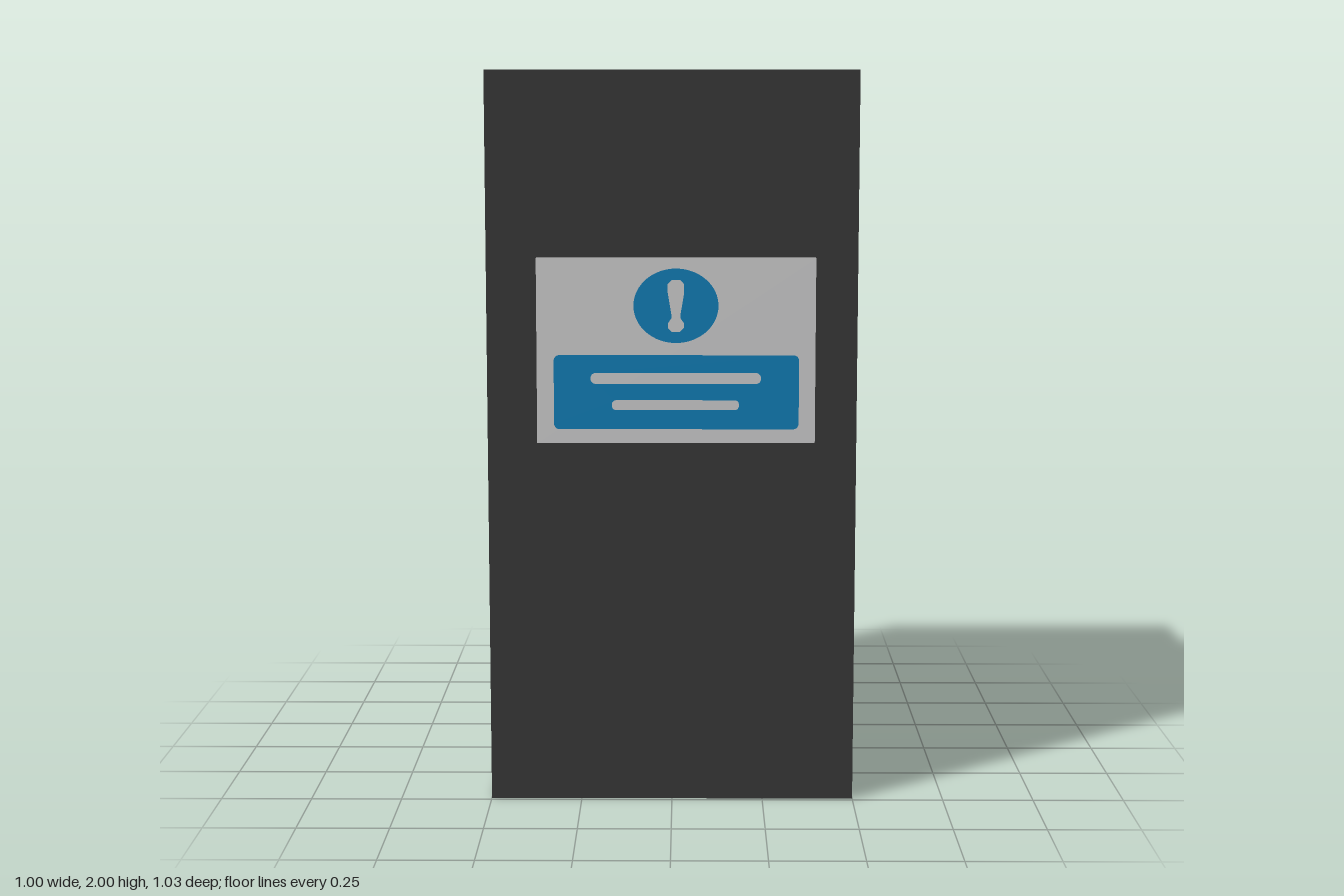
import * as THREE from 'three';

const darkGrey = new THREE.MeshStandardMaterial({ color: 0x363636, side: THREE.DoubleSide });
darkGrey.name = 'dark grey';
const lightGrey = new THREE.MeshStandardMaterial({ color: 0xcbcbcc });
lightGrey.name = 'light grey';
const blue = new THREE.MeshStandardMaterial({ color: 0x0f7cb4 });
blue.name = 'sign blue';

const BODY_FRONT = 0.4875;
const SIGN_FRONT = 0.5125;
const SIGN_X = 0.011;

// Rounded rectangle outline, used for the sign's band and its slots
function roundedRect(PathType, x0, x1, y0, y1, r) {
  const p = new PathType();
  p.moveTo(x0 + r, y0);
  p.lineTo(x1 - r, y0);
  p.absarc(x1 - r, y0 + r, r, -Math.PI / 2, 0);
  p.absarc(x1 - r, y1 - r, r, 0, Math.PI / 2);
  p.absarc(x0 + r, y1 - r, r, Math.PI / 2, Math.PI);
  p.absarc(x0 + r, y0 + r, r, Math.PI, Math.PI * 1.5);
  return p;
}

export function createModel() {
  const model = new THREE.Group();
  model.name = 'cabinet';

  function add(name, geometry, material, x, y, z) {
    const mesh = new THREE.Mesh(geometry, material);
    mesh.name = name;
    mesh.position.set(x, y, z);
    model.add(mesh);
  }

  // Cabinet shell, hollow and open underneath
  const shell = new THREE.BoxGeometry(1, 2, 1);
  const bottom = shell.groups[3];
  shell.setIndex([...shell.index.array].filter(
    (_, i) => i < bottom.start || i >= bottom.start + bottom.count));
  shell.clearGroups();
  add('cabinetShell', shell, darkGrey, 0, 1, BODY_FRONT - 0.5);

  // Raised sign board
  const thickness = SIGN_FRONT - BODY_FRONT;
  add('signBoard', new THREE.BoxGeometry(0.75, 0.5, thickness), lightGrey,
    SIGN_X, 1.252, BODY_FRONT + thickness / 2);

  // Oval warning badge with the mark cut out
  const badge = new THREE.Shape();
  badge.absellipse(0, 0, 0.114, 0.1, 0, Math.PI * 2);
  const half = [[0.012, 0.069], [0.022, 0.058], [0.022, 0.035], [0.012, -0.025],
    [0.012, -0.033], [0.021, -0.046], [0.021, -0.06], [0.011, -0.07]];
  const outline = [...half, ...half.map(([x, y]) => [-x, y]).reverse()];
  badge.holes.push(new THREE.Path(outline.map(([x, y]) => new THREE.Vector2(x, y))));
  add('warningBadge', new THREE.ShapeGeometry(badge, 32), blue,
    SIGN_X, 1.374, SIGN_FRONT + 0.001);

  // Blue band with two slots
  const band = roundedRect(THREE.Shape, -0.33, 0.33, 1.04, 1.241, 0.015);
  band.holes.push(
    roundedRect(THREE.Path, -0.231, 0.228, 1.163, 1.193, 0.014),
    roundedRect(THREE.Path, -0.174, 0.169, 1.092, 1.119, 0.012));
  add('signBand', new THREE.ShapeGeometry(band, 4), blue, SIGN_X + 0.001, 0, SIGN_FRONT + 0.001);

  return model;
}
